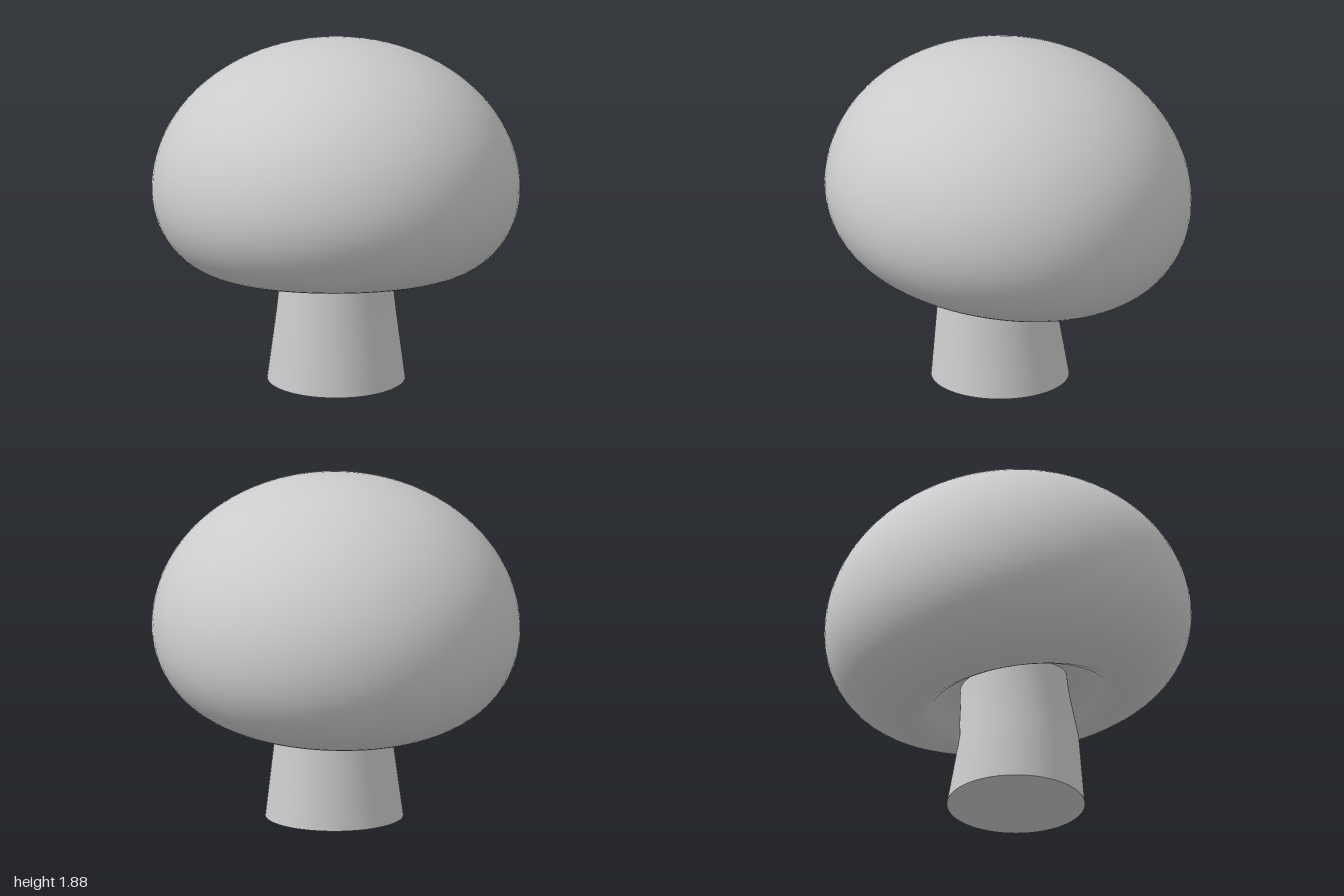
import * as THREE from 'three';

const SEGMENTS = 72;

export function createModel() {
  const group = new THREE.Group();
  const material = new THREE.MeshStandardMaterial({ color: 0xcccccc });

  const add = (name, geometry, parent) => {
    const mesh = new THREE.Mesh(geometry, material);
    mesh.name = name;
    parent.add(mesh);
    return mesh;
  };

  // Cap: hollow underside, rounded lip and elliptical dome, relative to its widest ring
  const profile = [[0, -0.33], [0.25, -0.335], [0.36, -0.355], [0.44, -0.405], [0.49, -0.45]]
    .map(([r, y]) => new THREE.Vector2(r, y));
  for (let i = 0; i < 16; i++) {
    const a = (i / 16) * Math.PI / 2;
    profile.push(new THREE.Vector2(0.55 + 0.45 * Math.sin(a), -0.475 * Math.cos(a)));
  }
  for (let i = 0; i <= 28; i++) {
    const a = (i / 28) * Math.PI / 2;
    profile.push(new THREE.Vector2(i === 28 ? 0 : Math.cos(a), 0.818 * Math.sin(a)));
  }
  const cap = add('cap', new THREE.LatheGeometry(profile, SEGMENTS), group);
  cap.position.set(0, 1.06, 0);
  cap.rotation.set(-0.096, 0, -0.096); // leans toward the back left

  // Stem: tapered rings, each [height, radius, sideways shift]
  const rings = [[0, 0.375, 0.03], [0.39, 0.325, 0.043], [0.65, 0.296, 0.026], [0.8, 0.285, 0.02]];
  const stem = new THREE.Group();
  stem.name = 'stem';
  group.add(stem);
  const side = new THREE.LatheGeometry(rings.map(([y, r]) => new THREE.Vector2(r, y)), SEGMENTS);
  const pos = side.attributes.position;
  for (let i = 0; i < pos.count; i++) {
    const shift = rings[i % rings.length][2];
    pos.setX(i, pos.getX(i) - shift);
    pos.setZ(i, pos.getZ(i) + shift);
  }
  add('stemSide', side, stem);

  // Flat underside of the stem
  const base = add('stemBase', new THREE.CircleGeometry(0.375, SEGMENTS), stem);
  base.rotation.x = Math.PI / 2;
  base.position.set(-0.03, 0, 0.03);

  return group;
}
